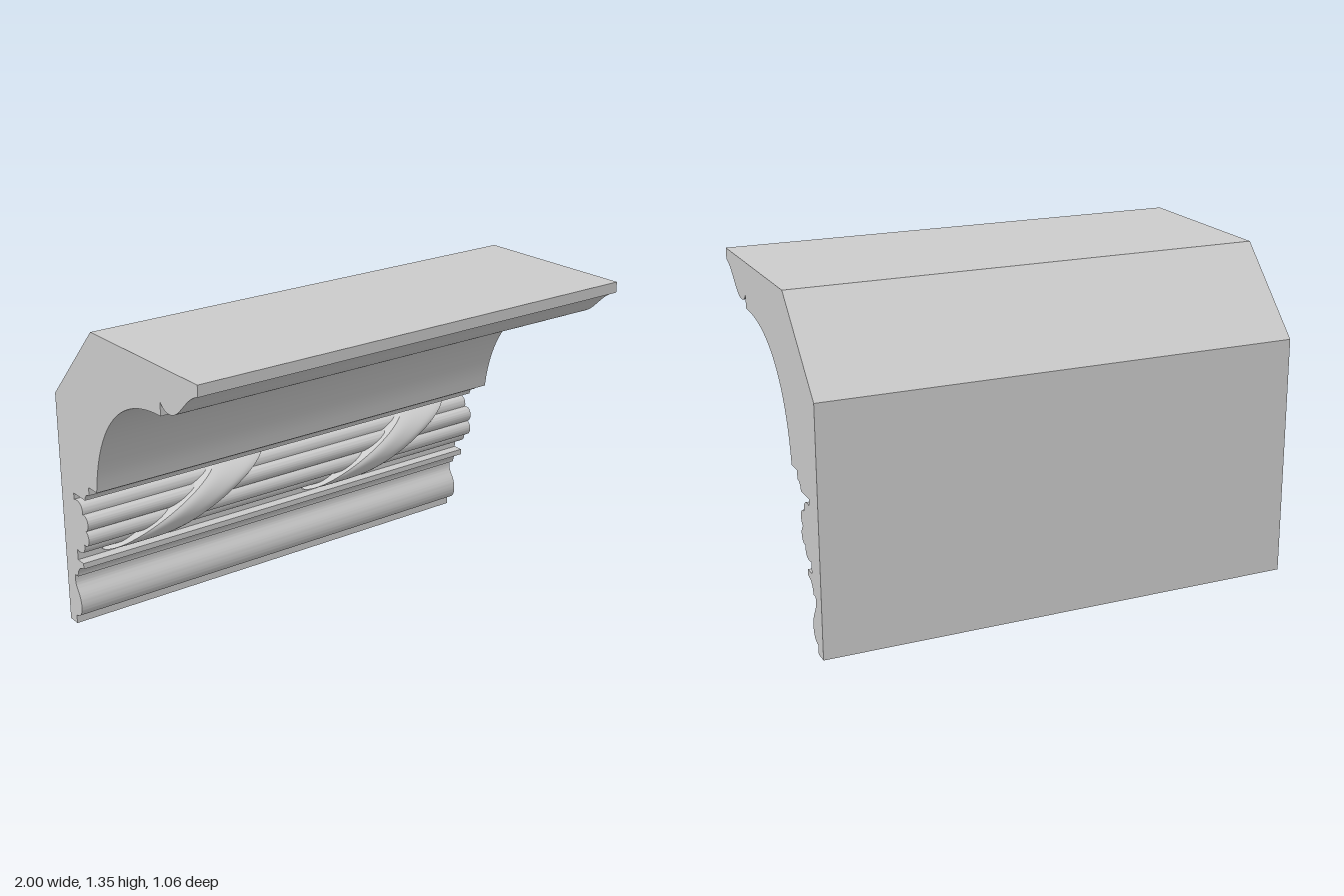
import * as THREE from 'three';
import { toCreasedNormals } from 'three/addons/utils/BufferGeometryUtils.js';

const material = new THREE.MeshStandardMaterial({ color: 0xcccccc });
const REED_Y = 0.467; // centre height of the reeded band

// Extrude a (z, y) outline along x, ending at x = right
function extrudeAlongX(shape, length, right, steps = 1) {
  const g = new THREE.ExtrudeGeometry(shape, { depth: length, steps, bevelEnabled: false, curveSegments: 20 });
  return g.rotateY(-Math.PI / 2).translate(right, 0, 0);
}

function mouldingProfile() {
  const s = new THREE.Shape();
  const lines = (...pts) => pts.forEach(([z, y]) => s.lineTo(z, y));

  // Back, sloped shoulder and top
  s.moveTo(-0.53, 0);
  lines([-0.53, 1.0], [-0.207, 1.337], [0.533, 1.347], [0.533, 1.302]);

  // Upper ogee lip
  s.bezierCurveTo(0.45, 1.28, 0.41, 1.18, 0.34, 1.18);
  s.quadraticCurveTo(0.3, 1.18, 0.28, 1.21);
  lines([0.28, 1.155]);

  // Large cove
  s.bezierCurveTo(0, 1.155, -0.195, 0.99, -0.235, 0.674);

  // Small step and cove above the reeds
  lines([-0.3, 0.674], [-0.3, 0.64]);
  s.quadraticCurveTo(-0.335, 0.635, -0.337, 0.605);
  lines([-0.43, 0.605], [-0.43, 0.578]);

  // Four reeds, the lower pair mirroring the upper pair
  const m = (y) => 2 * REED_Y - y;
  s.bezierCurveTo(-0.4, 0.587, -0.36, 0.58, -0.365, 0.533);
  s.bezierCurveTo(-0.325, 0.545, -0.31, 0.485, -0.345, REED_Y);
  s.bezierCurveTo(-0.31, m(0.485), -0.325, m(0.545), -0.365, m(0.533));
  s.bezierCurveTo(-0.36, m(0.58), -0.4, m(0.587), -0.43, m(0.578));

  // Fillet and cove below the reeds
  lines([-0.43, 0.31], [-0.385, 0.31], [-0.385, 0.285]);
  s.quadraticCurveTo(-0.435, 0.28, -0.44, 0.23);
  lines([-0.465, 0.23], [-0.465, 0.205]);

  // Lower ogee and foot
  s.bezierCurveTo(-0.465, 0.165, -0.425, 0.155, -0.425, 0.095);
  s.bezierCurveTo(-0.425, 0.06, -0.445, 0.04, -0.475, 0.038);
  lines([-0.475, 0]);
  s.closePath();
  return s;
}

// Half-round band, slanted along x and slightly rounded off at its two edges
function ribbonGeometry(x) {
  const width = 0.24, slant = 0.54, height = 0.275, depth = 0.145, baseZ = -0.43;
  const s = new THREE.Shape();
  s.absellipse(baseZ, REED_Y, depth, height / 2, -Math.PI / 2, Math.PI / 2, false);
  s.closePath();
  const g = extrudeAlongX(s, width, width / 2, 10);
  const p = g.attributes.position;
  for (let i = 0; i < p.count; i++) {
    const across = p.getX(i) / (width / 2);
    const k = 1 - 0.08 * across ** 4;
    const y = p.getY(i);
    p.setXYZ(i, x + p.getX(i) + slant * (y - REED_Y) / height, y, baseZ + (p.getZ(i) - baseZ) * k);
  }
  return toCreasedNormals(g, 0.6);
}

export function createModel() {
  const group = new THREE.Group();
  const add = (name, geometry) => {
    const mesh = new THREE.Mesh(geometry, material);
    mesh.name = name;
    group.add(mesh);
  };

  add('moulding', toCreasedNormals(extrudeAlongX(mouldingProfile(), 2, 1), 0.5));

  // Two ribbons wrapped over the reeds
  [['rightRibbon', -0.5], ['leftRibbon', 0.5]].forEach(([name, x]) => add(name, ribbonGeometry(x)));
  return group;
}
